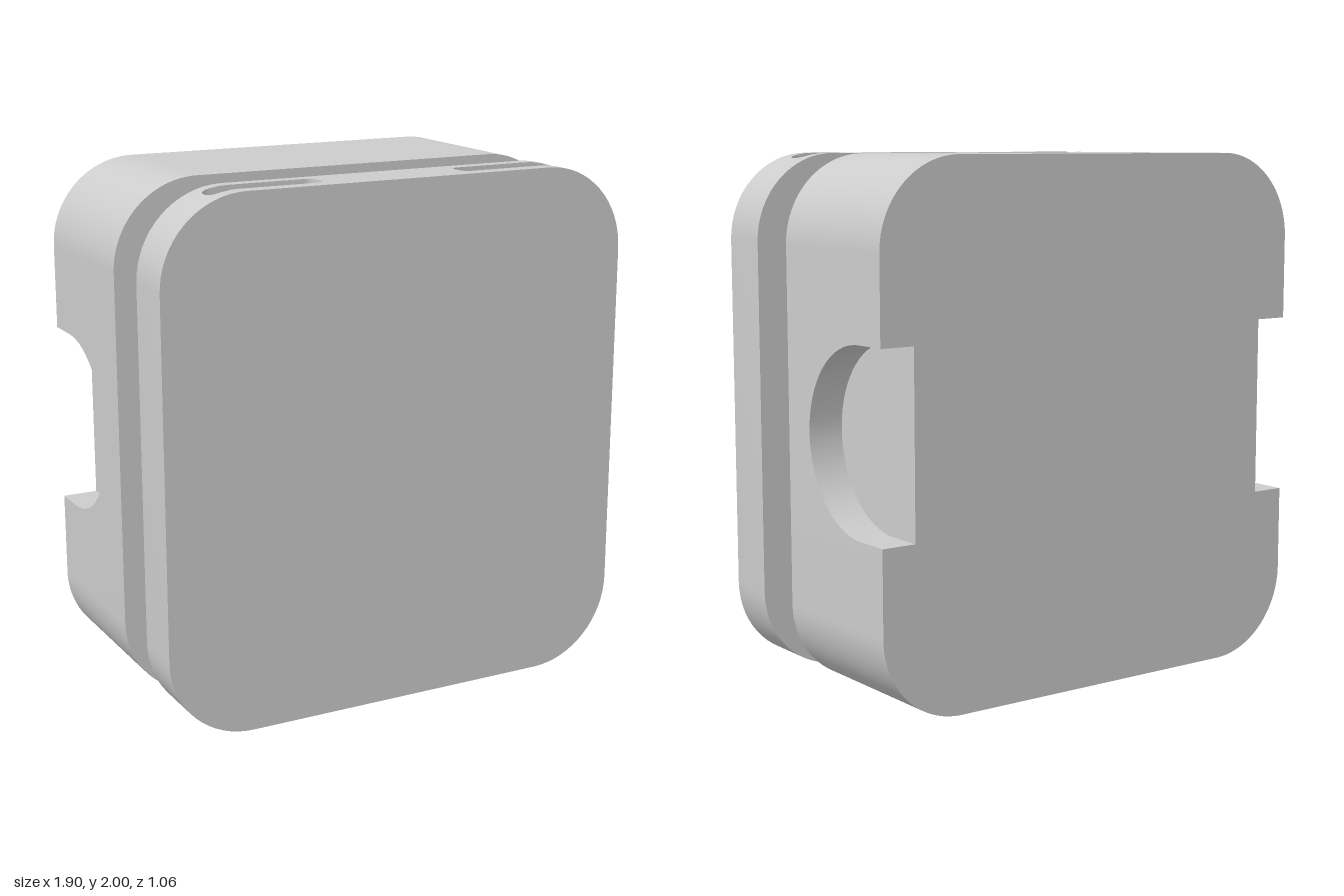
import * as THREE from 'three';
import { toCreasedNormals } from 'three/addons/utils/BufferGeometryUtils.js';

const W = 0.95, R = 0.33, STEPS = 16;             // half width, corner radius, steps per corner
const BACK = -0.53, BODY = 0.105, NECK = 0.32, FRONT = 0.53;
const NOTCH = { depth: 0.136, r: 0.347, z: -0.39 };
const SLOT = { x0: 0.285, x1: 0.73, z: 0.42, half: 0.05, r: 0.035, floor: 1.95 };

const material = new THREE.MeshStandardMaterial({ color: 0xcccccc });

function add(parent, name, geometry) {
  const mesh = new THREE.Mesh(geometry, material);
  mesh.name = name;
  parent.add(mesh);
  return mesh;
}

const extrude = (shape, depth) => toCreasedNormals(
  new THREE.ExtrudeGeometry(shape, { depth, bevelEnabled: false, curveSegments: STEPS }), 0.5);

// Rounded rectangle around y = 1; an optional recess is cut into both flat sides
function outline(w, h, r, recess = 0) {
  const s = new THREE.Shape(), n = NOTCH.r, side = w - recess;
  s.moveTo(w, 1 - h + r);
  if (recess) [[w, 1 - n], [side, 1 - n], [side, 1 + n], [w, 1 + n]].forEach(p => s.lineTo(...p));
  s.lineTo(w, 1 + h - r);
  s.absarc(w - r, 1 + h - r, r, 0, Math.PI / 2);
  s.lineTo(r - w, 1 + h);
  s.absarc(r - w, 1 + h - r, r, Math.PI / 2, Math.PI);
  if (recess) [[-w, 1 + n], [-side, 1 + n], [-side, 1 - n], [-w, 1 - n]].forEach(p => s.lineTo(...p));
  s.lineTo(-w, 1 - h + r);
  s.absarc(r - w, 1 - h + r, r, Math.PI, 1.5 * Math.PI);
  s.lineTo(w - r, 1 - h);
  s.absarc(w - r, 1 - h + r, r, 1.5 * Math.PI, 2 * Math.PI);
  return s;
}

// Block beside each notch: a rectangle minus the round-ended cut, drawn in (z, y)
function notchSurround() {
  const { r, z } = NOTCH, s = new THREE.Shape();
  s.moveTo(z, 1 - r);
  s.lineTo(BODY, 1 - r);
  s.lineTo(BODY, 1 + r);
  s.lineTo(z, 1 + r);
  s.absarc(z, 1, r, Math.PI / 2, -Math.PI / 2, true);
  return extrude(s, NOTCH.depth).rotateY(-Math.PI / 2);
}

// Columns round the plate's rim, each with its slot half-width and floor height
function rimColumns() {
  const { x0, x1, half, r, floor } = SLOT;
  const column = (x, cut) => {
    const dx = Math.max(0, x - (W - R));
    const y = 2 - R + Math.sqrt(Math.max(0, R * R - dx * dx));
    const e = THREE.MathUtils.clamp(Math.min(x1 - x, x - x0), 0, r);
    const h = half - r + Math.sqrt(Math.max(0, r * r - (r - e) ** 2));
    return { x, y, h, floor: cut ? floor : y };
  };
  const xs = [x0, x1];
  for (let i = 0; i <= STEPS; i++) xs.push(W - R + R * Math.cos(i / STEPS * Math.PI / 2));
  for (let i = 1; i <= 5; i++) {
    const e = r * (1 - Math.cos(i / 5 * Math.PI / 2));
    xs.push(x0 + e, x1 - e);
  }
  xs.sort((a, b) => b - a);
  const quarter = xs.flatMap(x =>
    x === x1 ? [column(x, false), column(x, true)] :
    x === x0 ? [column(x, true), column(x, false)] :
    [column(x, x > x0 && x < x1)]);
  const top = [...quarter, ...quarter.map(c => ({ ...c, x: -c.x })).reverse()];
  const bottom = top.map(c => ({ ...c, x: -c.x, y: 2 - c.y, floor: 2 - c.floor }));
  return [...top, ...bottom];
}

// Rim lofted from six-point sections that dip into the slots
function rimGeometry(columns) {
  const positions = [], index = [], n = columns.length;
  for (const { x, y, h, floor } of columns) {
    const a = SLOT.z - h, b = SLOT.z + h;
    positions.push(x, y, NECK, x, y, a, x, floor, a, x, floor, b, x, y, b, x, y, FRONT);
  }
  for (let i = 0; i < n; i++) for (let j = 0; j < 5; j++) {
    const a = i * 6 + j, b = ((i + 1) % n) * 6 + j;
    index.push(a, b, b + 1, a, b + 1, a + 1);
  }
  const g = new THREE.BufferGeometry();
  g.setAttribute('position', new THREE.Float32BufferAttribute(positions, 3));
  g.setIndex(index);
  return toCreasedNormals(g, 0.5);
}

export function createModel() {
  const model = new THREE.Group();
  model.name = 'roundedHousing';

  // Rear body with a round-ended notch in each side, open to the back
  const body = new THREE.Group();
  body.name = 'rearBody';
  model.add(body);
  add(body, 'bodyCore', extrude(outline(W, 1, R, NOTCH.depth), BODY - BACK)).position.z = BACK;
  add(body, 'leftNotchSurround', notchSurround()).position.x = W;
  add(body, 'rightNotchSurround', notchSurround()).position.x = NOTCH.depth - W;

  // Narrower neck between body and plate
  add(model, 'neck', extrude(outline(0.68, 0.73, 0.06), NECK - BODY)).position.z = BODY;

  // Front plate with two slots in its top edge and two in its bottom edge
  const plate = new THREE.Group();
  plate.name = 'frontPlate';
  model.add(plate);
  const columns = rimColumns();
  add(plate, 'slottedRim', rimGeometry(columns));
  const face = new THREE.Shape(columns
    .filter((c, i) => !i || c.x !== columns[i - 1].x || c.y !== columns[i - 1].y)
    .map(c => new THREE.Vector2(c.x, c.y)));
  add(plate, 'plateFront', new THREE.ShapeGeometry(face)).position.z = FRONT;
  add(plate, 'plateBack', new THREE.ShapeGeometry(face).rotateY(Math.PI)).position.z = NECK;

  return model;
}
